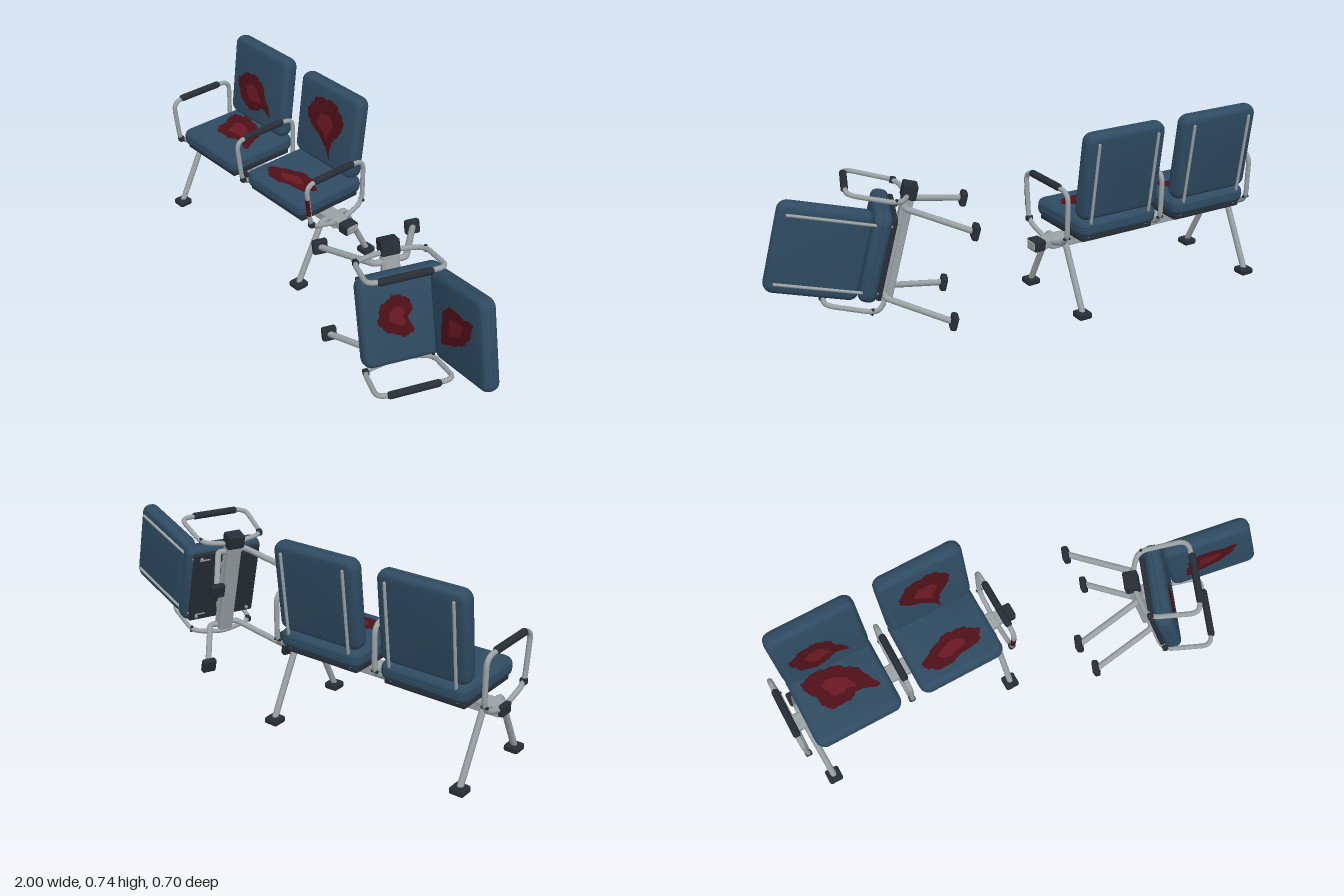
import * as THREE from 'three';
import { RoundedBoxGeometry } from 'three/addons/geometries/RoundedBoxGeometry.js';
import { toCreasedNormals } from 'three/addons/utils/BufferGeometryUtils.js';

const mat = (color, side = THREE.FrontSide) => new THREE.MeshStandardMaterial({ color, side });
const METAL = mat(0x9aa2a5), BLUE = mat(0x2f4b62), DARK = mat(0x272d36);
const RED = mat(0x4e1018, THREE.DoubleSide), RED_LIGHT = mat(0x6a1823, THREE.DoubleSide);

function add(parent, name, geo, material, x = 0, y = 0, z = 0) {
  const m = new THREE.Mesh(geo, material);
  m.name = name;
  m.position.set(x, y, z);
  parent.add(m);
  return m;
}
const block = (w, h, d, r = 0.006) => new RoundedBoxGeometry(w, h, d, 2, r);

// Tube through [y, z] points with rounded corners, lying in a plane of constant x
function bentTube(pts, tubeR, cornerR) {
  const p = pts.map(([y, z]) => new THREE.Vector3(0, y, z));
  const path = new THREE.CurvePath();
  let from = p[0];
  for (let i = 1; i < p.length - 1; i++) {
    const toward = (q) => {
      const d = q.clone().sub(p[i]);
      return p[i].clone().addScaledVector(d.clone().normalize(), Math.min(cornerR, d.length() * 0.45));
    };
    const a = toward(p[i - 1]), b = toward(p[i + 1]);
    path.add(new THREE.LineCurve3(from, a));
    path.add(new THREE.QuadraticBezierCurve3(a, p[i], b));
    from = b;
  }
  path.add(new THREE.LineCurve3(from, p[p.length - 1]));
  return new THREE.TubeGeometry(path, 64, tubeR, 10);
}

function roundedRect(w, h, r) {
  const s = new THREE.Shape(), x = w / 2 - r, y = h / 2 - r;
  s.absarc(x, y, r, 0, Math.PI / 2);
  s.absarc(-x, y, r, Math.PI / 2, Math.PI);
  s.absarc(-x, -y, r, Math.PI, Math.PI * 1.5);
  s.absarc(x, -y, r, Math.PI * 1.5, Math.PI * 2);
  s.closePath();
  return s;
}

// Stain outline given in hundredths, with a slightly ragged edge
function stainShape(pts, scale) {
  const c = new THREE.Vector2();
  pts.forEach(([x, y]) => c.add(new THREE.Vector2(x, y).divideScalar(pts.length)));
  const curve = new THREE.CatmullRomCurve3(pts.map(([x, y]) => new THREE.Vector3(x, y, 0)), true);
  return new THREE.Shape(curve.getPoints(72).slice(0, -1).map((p, i) => {
    const k = scale * (1 + 0.03 * Math.sin(i * 1.9) + 0.04 * Math.sin(i * 0.83 + 1));
    return new THREE.Vector2((c.x + (p.x - c.x) * k) / 100, (c.y + (p.y - c.y) * k) / 100);
  }));
}

// Padded cushion facing +z, with piping round its middle and a stain on its face
function cushion(name, w, h, t, stain) {
  const g = new THREE.Group(), b = 0.026;
  g.name = name;
  const geo = new THREE.ExtrudeGeometry(roundedRect(w - 2 * b, h - 2 * b, 0.012), {
    depth: t - 2 * b, bevelSize: b, bevelThickness: b, bevelSegments: 6, curveSegments: 6 });
  geo.translate(0, 0, b - t / 2);
  add(g, 'padding', toCreasedNormals(geo, 0.7), BLUE);
  const edge = roundedRect(w, h, 0.038).getSpacedPoints(80).slice(0, -1).map((p) => new THREE.Vector3(p.x, p.y, 0));
  add(g, 'piping', new THREE.TubeGeometry(new THREE.CatmullRomCurve3(edge, true), 100, 0.002, 6, true), BLUE);
  add(g, 'stain', new THREE.ShapeGeometry(stainShape(stain, 1)), RED, 0, 0, t / 2 + 0.001);
  add(g, 'stainCentre', new THREE.ShapeGeometry(stainShape(stain, 0.45)), RED_LIGHT, 0, 0, t / 2 + 0.002);
  return g;
}

// Seat, backrest, pan and rails; z = 0 is above the beam
function seatUnit(x, seatStain, backStain) {
  const g = new THREE.Group();
  g.name = 'seat';
  g.position.x = x;
  const seat = cushion('seatCushion', 0.36, 0.34, 0.07, seatStain);
  seat.rotation.x = -Math.PI / 2;
  seat.position.set(0, 0.35, 0);
  const back = cushion('backCushion', 0.36, 0.358, 0.066, backStain);
  back.rotation.x = -0.132;
  back.position.set(0, 0.563, -0.152);
  g.add(seat, back);
  add(g, 'seatPan', block(0.33, 0.02, 0.3), DARK, 0, 0.306, 0);
  for (const s of [-1, 1]) {
    add(g, 'backRail', bentTube([[0.3, -0.08], [0.3, -0.145], [0.385, -0.165], [0.7, -0.208]], 0.006, 0.03), METAL, s * 0.136);
    add(g, 'railTip', new THREE.SphereGeometry(0.006, 10, 6), METAL, s * 0.136, 0.7, -0.208);
    add(g, 'panBracket', block(0.03, 0.02, 0.06), METAL, s * 0.1, 0.289, 0);
    for (const z of [-0.12, 0.12])
      add(g, 'bolt', new THREE.CylinderGeometry(0.007, 0.007, 0.008, 8), METAL, s * 0.145, 0.293, z);
  }
  return g;
}

function armrest(x) {
  const g = new THREE.Group();
  g.name = 'armrest';
  g.position.x = x;
  add(g, 'armTube', bentTube([[0.264, 0], [0.266, -0.03], [0.298, -0.126], [0.503, -0.13], [0.503, 0.172], [0.298, 0.15], [0.266, 0.03], [0.264, 0]], 0.01, 0.045), METAL);
  const pad = add(g, 'armPad', new THREE.CapsuleGeometry(0.0145, 0.185, 4, 12), DARK, 0, 0.506, 0.03);
  pad.rotation.x = Math.PI / 2;
  add(g, 'frontJoint', block(0.026, 0.026, 0.022), DARK, 0, 0.31, 0.146);
  const pin = add(g, 'rearJoint', new THREE.CylinderGeometry(0.006, 0.006, 0.026, 10), DARK, 0, 0.315, -0.124);
  pin.rotation.z = Math.PI / 2;
  return g;
}

// Front and rear leg with their feet
function legPair(x) {
  const g = new THREE.Group();
  g.name = 'legPair';
  g.position.x = x;
  for (const s of [-1, 1]) {
    add(g, 'leg', bentTube([[0.262, 0], [0.272, s * 0.06], [0.02, s * 0.188]], 0.0125, 0.02), METAL);
    add(g, 'foot', block(0.058, 0.027, 0.06, 0.009), DARK, 0, 0.0135, s * 0.188);
  }
  return g;
}

// Square beam from x0 to x1 with a lengthwise ridge on each side
function beam(g, x0, x1) {
  const w = x1 - x0, x = (x0 + x1) / 2;
  add(g, 'beam', block(w, 0.046, 0.062), METAL, x, 0.26, 0);
  add(g, 'beamRidge', block(w, 0.014, 0.07, 0.004), METAL, x, 0.272, 0);
}

export function createModel() {
  const model = new THREE.Group();
  model.name = 'waitingRoomSeats';

  // Standing bench with two seats
  const bench = new THREE.Group();
  bench.name = 'standingBench';
  bench.position.z = -0.139;
  beam(bench, -0.985, -0.08);
  add(bench, 'beamCap', block(0.025, 0.042, 0.06), DARK, -0.988, 0.262, 0);
  add(bench, 'connector', block(0.085, 0.036, 0.056), METAL, -0.044, 0.262, 0);
  add(bench, 'connectorSleeve', block(0.05, 0.044, 0.064), DARK, -0.029, 0.262, 0);
  bench.add(
    seatUnit(-0.754,
      [[-13, 8], [-8, 11], [2, 9], [9, 4], [13, -6], [6, -4], [0, -6], [-8, -5], [-10, 0]],
      [[-13, -1], [-9, 3], [-3, 4.5], [3, 2], [6, -4], [10, -11], [4, -9], [-1, -12], [-8, -11], [-12, -6]]),
    seatUnit(-0.307,
      [[-13, -7], [-7, -3], [0, 0], [8, -1], [13, -5], [10, -9], [3, -10], [-4, -12], [-10, -11]],
      [[-11, 3], [-8, 9], [0, 12], [8, 9], [10, 2], [6, -4], [4, -9], [4, -13.5], [1, -9], [-4, -5], [-10, -1]]));
  for (const x of [-0.98, -0.532, -0.087]) bench.add(armrest(x));
  for (const x of [-0.94, -0.123]) bench.add(legPair(x));
  const armStain = add(bench, 'armStain',
    new THREE.CylinderGeometry(0.0108, 0.0108, 0.08, 8, 1, true, -Math.PI / 2, Math.PI), RED, -0.087, 0.4, 0.161);
  armStain.rotation.x = 0.107;

  // Broken-off single seat lying on its left side
  const fallen = new THREE.Group();
  fallen.name = 'fallenSeat';
  beam(fallen, -0.23, 0.2);
  add(fallen, 'connectorSleeve', block(0.06, 0.058, 0.074), DARK, -0.24, 0.26, 0);
  fallen.add(
    seatUnit(0,
      [[-10, -4], [-7, -9], [0, -10.5], [4, -7], [7, 0], [5, 3], [0, 1], [-4, 3], [-9, 0]],
      [[-7, 11], [-1, 9], [4, 4], [7, -3], [9, -11], [2, -10], [-5, -8], [-8, -2], [-7, 5]]));
  for (const s of [-1, 1]) fallen.add(armrest(s * 0.223), legPair(s * 0.185));
  const yAxis = new THREE.Vector3(0.9, 0.235, 0.37).normalize();
  const xAxis = yAxis.clone().cross(new THREE.Vector3(-0.38, -0.02, 0.925)).normalize();
  const zAxis = xAxis.clone().cross(yAxis);
  fallen.quaternion.setFromRotationMatrix(new THREE.Matrix4().makeBasis(xAxis, yAxis, zAxis));
  fallen.position.set(0.233, 0.212, -0.013);

  model.add(bench, fallen);
  return model;
}
